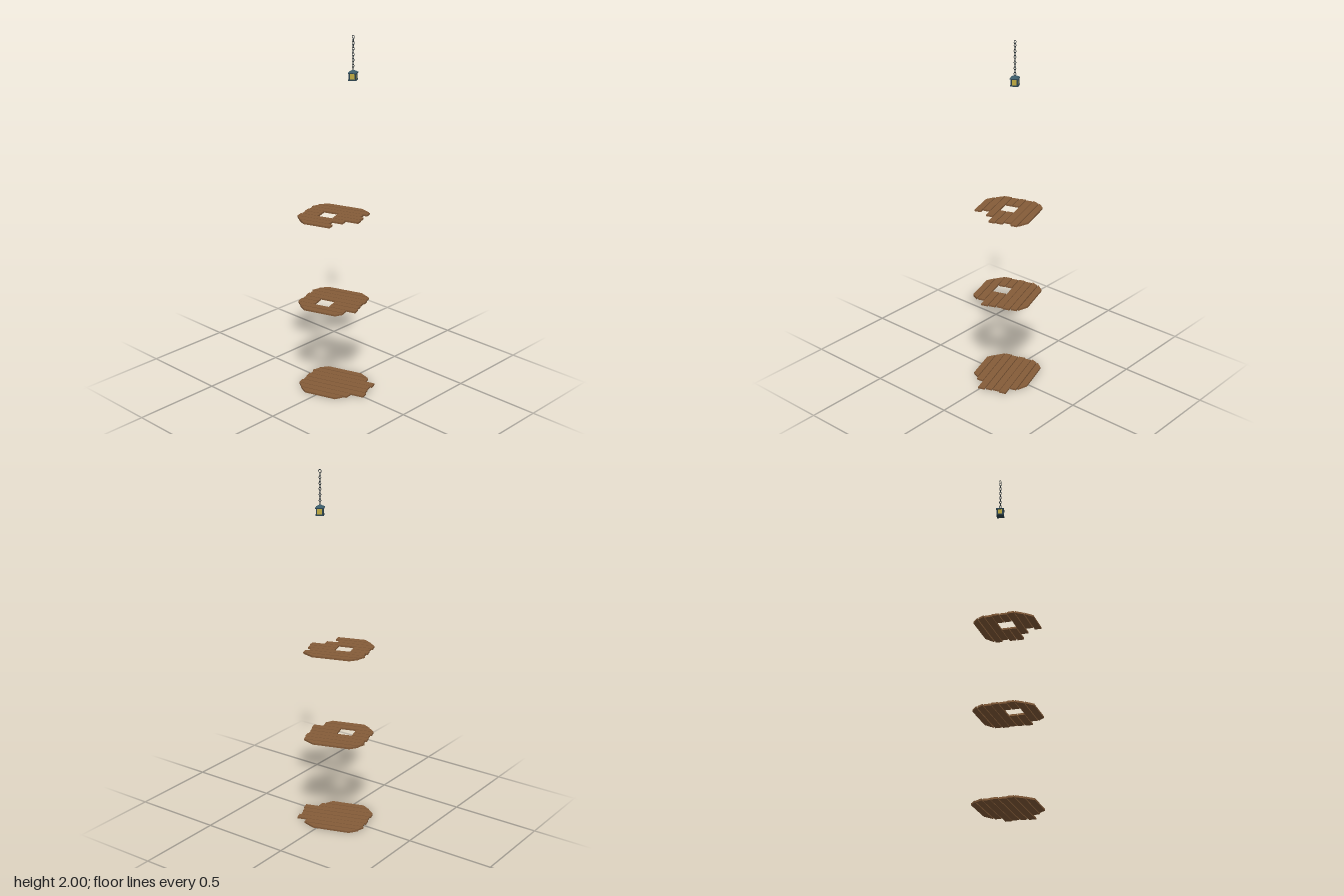
import * as THREE from 'three';

const mat = (name, color) => {
  const m = new THREE.MeshStandardMaterial({ color, flatShading: true });
  m.name = name;
  return m;
};

export function createModel() {
  const wood = mat('brown wood', 0x855c39);
  const iron = mat('dark teal iron', 0x2c4450);
  const roofBlue = mat('blue roof metal', 0x3a5a68);
  const chainGrey = mat('dark chain', 0x2b3438);
  const glass = mat('yellow glass', 0xc2ad42);

  const model = new THREE.Group();
  const add = (parent, geometry, material, name, x = 0, y = 0, z = 0) => {
    const m = new THREE.Mesh(geometry, material);
    m.name = name;
    m.position.set(x, y, z);
    parent.add(m);
    return m;
  };

  // Planks: side edges, then back and front ends at the left and right edge
  const planks = [
    [-0.1585, -0.122, -0.121, -0.162, 0.065, 0.097],
    [-0.117, -0.078, -0.164, -0.197, 0.116, 0.125],
    [-0.074, -0.035, -0.199, -0.199, 0.199, 0.199],
    [-0.030, 0.007, -0.192, -0.192, 0.191, 0.191],
    [0.012, 0.050, -0.196, -0.196, 0.186, 0.186],
    [0.053, 0.091, -0.188, -0.188, 0.195, 0.195],
    [0.095, 0.131, -0.196, -0.173, 0.138, 0.138],
    [0.137, 0.172, -0.175, -0.133, 0.130, 0.075],
  ];
  const T = 0.01;
  const HOLE = [-0.099, -0.011];

  const plankGeometry = (l, r, bl, br, fl, fr) => {
    const shape = new THREE.Shape([[l, fl], [r, fr], [r, br], [l, bl]].map(([u, v]) => new THREE.Vector2(u, -v)));
    return new THREE.ExtrudeGeometry(shape, { depth: T, bevelEnabled: false }).rotateX(-Math.PI / 2);
  };

  // Floors: height, planks with an opening, shortened front ends
  const floors = [
    { name: 'lowerFloor', y: 0, open: [], cut: [] },
    { name: 'middleFloor', y: 0.504, open: [2, 3], cut: [1, 0.095, 0.148, 0.142, 0.138, 0.144, 1, 1] },
    { name: 'upperFloor', y: 1.008, open: [3, 4], cut: [0.035, 0.012, 0.071, 0.142, 0.138, 0.118, 1, 1] },
  ];
  for (const f of floors) {
    const floor = new THREE.Group();
    floor.name = f.name;
    floor.position.y = f.y;
    floor.rotation.y = Math.PI / 10;
    planks.forEach(([l, r, bl, br, fl, fr], i) => {
      const cut = f.cut[i] ?? 1;
      const a = Math.min(fl, cut), b = Math.min(fr, cut);
      if (f.open.includes(i)) {
        add(floor, plankGeometry(l, r, bl, br, HOLE[0], HOLE[0]), wood, 'backPlank');
        add(floor, plankGeometry(l, r, HOLE[1], HOLE[1], a, b), wood, 'frontPlank');
      } else {
        add(floor, plankGeometry(l, r, bl, br, a, b), wood, 'plank');
      }
    });
    model.add(floor);
  }

  // Lantern
  const lantern = new THREE.Group();
  lantern.name = 'lantern';
  lantern.position.set(0.0965, 1.76, 0.027);
  lantern.rotation.y = 0.5;
  model.add(lantern);
  const pyramid = (half, top, h) =>
    new THREE.CylinderGeometry(top * Math.SQRT2, half * Math.SQRT2, h, 4).rotateY(Math.PI / 4);
  add(lantern, new THREE.BoxGeometry(0.042, 0.006, 0.042), iron, 'base', 0, 0.003, 0);
  add(lantern, new THREE.BoxGeometry(0.032, 0.034, 0.032), glass, 'glass', 0, 0.022, 0);
  for (const x of [-1, 1]) for (const z of [-1, 1]) {
    add(lantern, new THREE.BoxGeometry(0.006, 0.034, 0.006), iron, 'post', x * 0.016, 0.022, z * 0.016);
  }
  add(lantern, new THREE.BoxGeometry(0.0445, 0.005, 0.0445), iron, 'eaves', 0, 0.0395, 0);
  add(lantern, pyramid(0.0222, 0.004, 0.012), roofBlue, 'roof', 0, 0.048, 0);

  // Chain of alternating links with a ring at the top
  const chain = new THREE.Group();
  chain.name = 'chain';
  chain.position.set(0.0965, 0, 0.027);
  model.add(chain);
  const link = new THREE.TorusGeometry(0.0055, 0.0016, 4, 8).scale(1, 1.75, 1);
  const count = 11, low = 1.822, high = 1.972;
  for (let i = 0; i < count; i++) {
    const m = add(chain, link, chainGrey, 'link', 0, low + (high - low) * i / (count - 1), 0);
    m.rotation.y = 0.5 + (i % 2) * Math.PI / 2;
  }
  const ring = add(chain, new THREE.TorusGeometry(0.0085, 0.002, 4, 10), chainGrey, 'topRing', 0, 1.9895, 0);
  ring.rotation.y = Math.PI / 2;

  return model;
}
